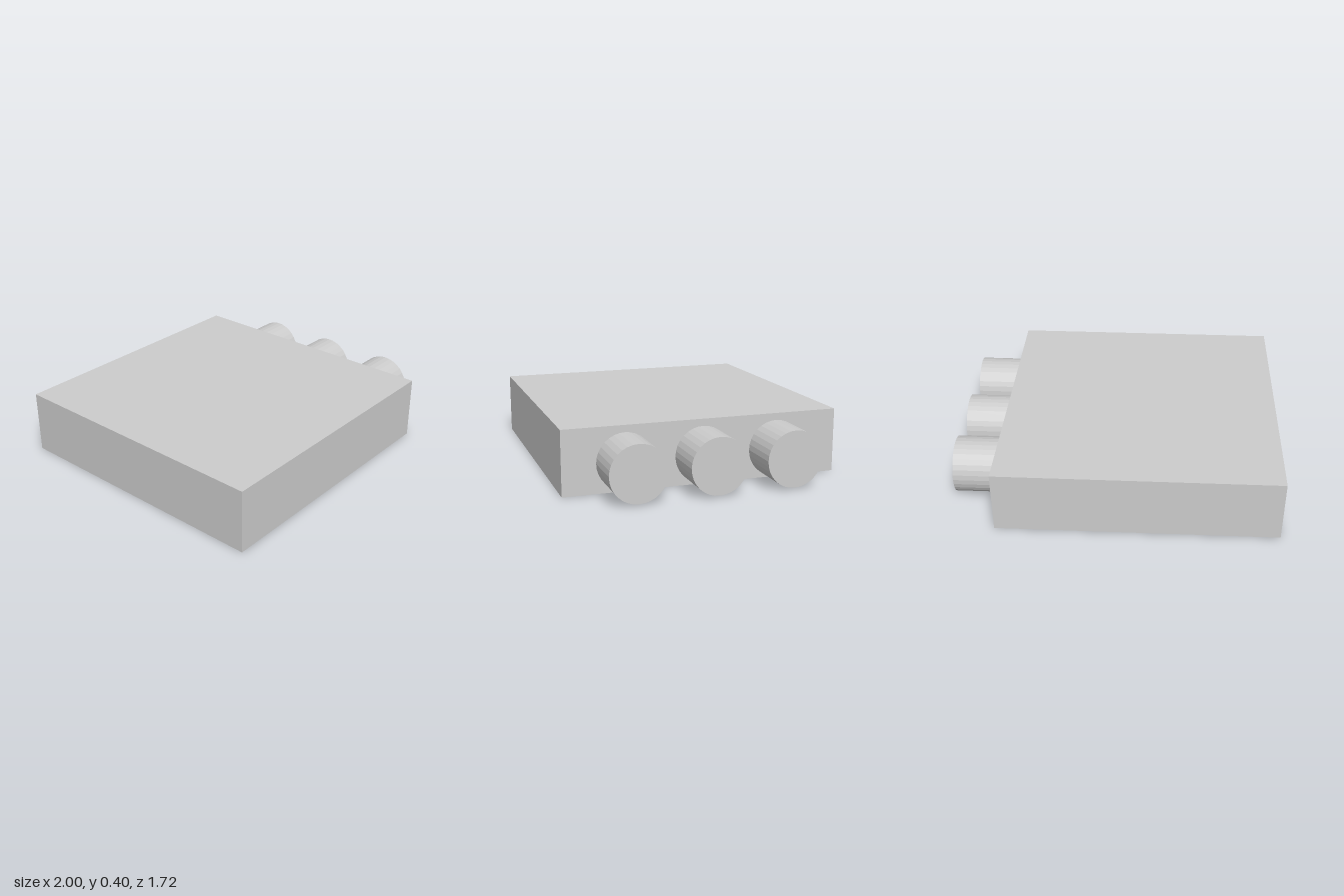
import * as THREE from 'three';

export function createModel() {
  const model = new THREE.Group();
  model.name = 'blockWithPegs';
  const material = new THREE.MeshStandardMaterial({ color: 0xcccccc, flatShading: true });

  // Flat square body
  const body = new THREE.Mesh(new THREE.BoxGeometry(1.723, 0.397, 1.724), material);
  body.name = 'body';
  body.position.set(-0.1385, 0.1985, 0);
  model.add(body);

  // Three round pegs standing out of the left side
  const length = 0.277;
  const pegGeometry = new THREE.CylinderGeometry(0.173, 0.173, length, 32).rotateZ(-Math.PI / 2);
  const pegs = [['frontPeg', 0.484], ['middlePeg', 0.004], ['backPeg', -0.467]];
  for (const [name, z] of pegs) {
    const peg = new THREE.Mesh(pegGeometry, material);
    peg.name = name;
    peg.position.set(1 - length / 2, 0.181, z);
    model.add(peg);
  }
  return model;
}
